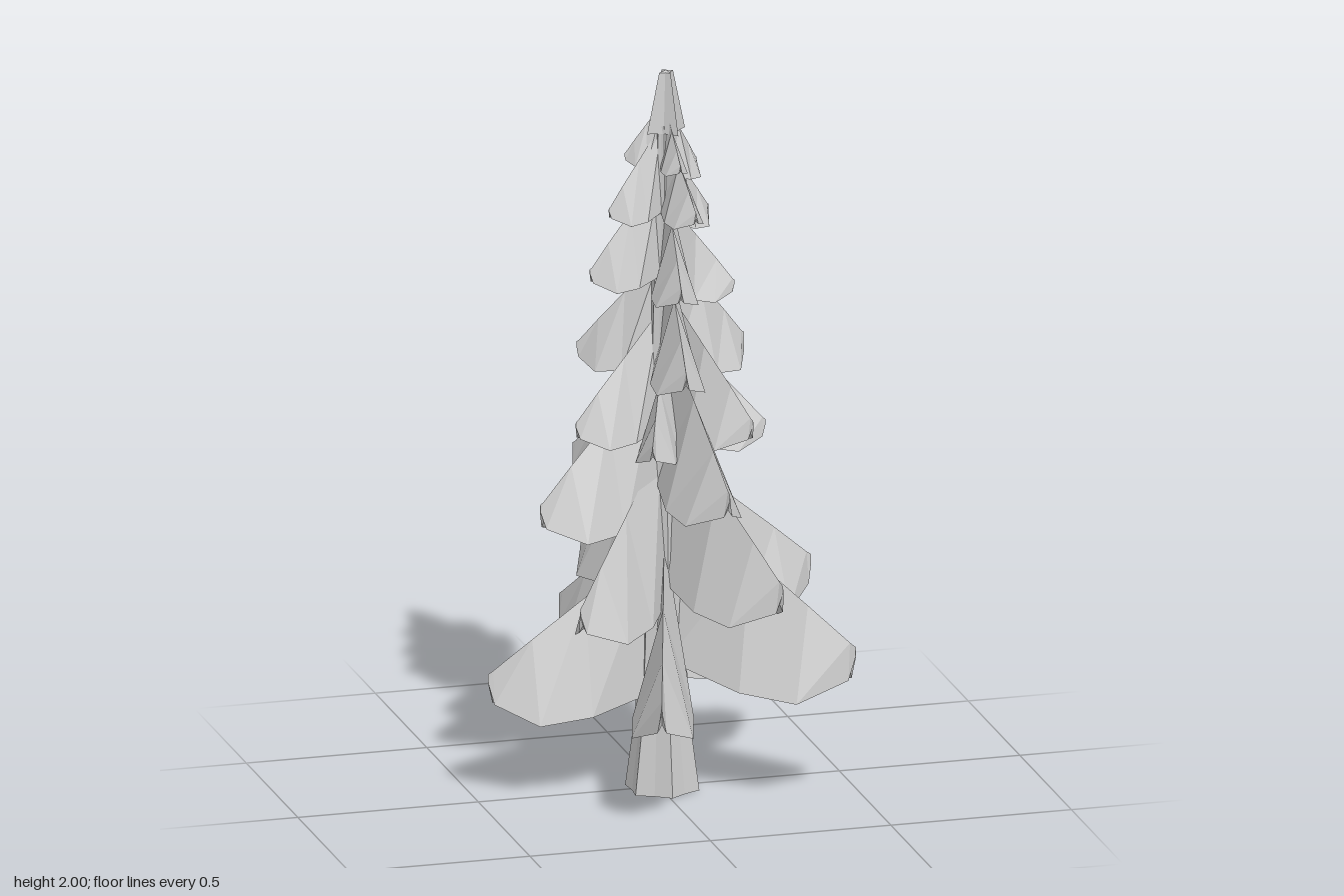
import * as THREE from 'three';

// Branch tips as [x, height, z], from the lowest tier to the top
const TIPS = [
  [-0.47, 0.35, -0.01], [0.46, 0.44, 0.30], [0.38, 0.37, -0.31], [-0.15, 0.42, -0.44], [-0.12, 0.37, 0.45],
  [0.45, 0.58, -0.10], [-0.30, 0.61, 0.29], [0.23, 0.66, 0.40], [-0.10, 0.63, -0.40],
  [-0.36, 0.85, 0.11], [0.09, 0.92, 0.375], [0.21, 0.88, -0.28], [-0.15, 0.88, -0.31],
  [0.27, 1.03, 0.09], [-0.25, 1.06, 0.07], [0.19, 1.08, 0.25], [0.10, 1.08, -0.26], [-0.08, 1.02, 0.22],
  [0.27, 1.21, -0.12], [-0.20, 1.23, -0.10], [0.0, 1.23, 0.27], [-0.08, 1.22, -0.23],
  [0.19, 1.42, 0.07], [-0.20, 1.47, 0.03], [0.0, 1.45, 0.22], [0.10, 1.46, -0.25],
  [0.16, 1.59, -0.08], [-0.15, 1.64, 0.04], [0.06, 1.64, 0.16], [0.05, 1.63, -0.19],
  [0.13, 1.72, -0.09], [-0.09, 1.77, -0.02], [0.03, 1.76, 0.11], [-0.02, 1.76, -0.10],
];
const CENTRE_X = 0.015;

// Drooping blade: a steep folded roof, lofted outwards along +z with its tip at height 0
function bladeGeometry(reach, slope, width) {
  // distance out, ridge, hem and keel heights, half width, all as parts of the reach
  const sections = [
    [0.04, slope, -0.14, 0.1, 0.1],
    [0.45, slope * 0.57, -0.24, 0.0, 0.24],
    [0.75, slope * 0.26, -0.27, -0.1, 0.24],
    [0.97, 0.02, -0.17, -0.12, 0.035],
    [1, 0, -0.05, -0.04, 0.004],
  ];
  const positions = [];
  for (const [out, ridge, hem, keel, half] of sections) {
    const w = half * width;
    positions.push(0, ridge, out, -w, hem, out, 0, keel, out, w, hem, out);
  }
  const index = [];
  for (let s = 0; s < sections.length - 1; s++) {
    for (let i = 0; i < 4; i++) {
      const a = s * 4 + i, b = s * 4 + (i + 1) % 4;
      index.push(a, b, a + 4, b, b + 4, a + 4);
    }
  }
  const end = (sections.length - 1) * 4;
  index.push(0, 2, 1, 0, 3, 2, end, end + 1, end + 2, end, end + 2, end + 3);
  const geometry = new THREE.BufferGeometry();
  geometry.setAttribute('position', new THREE.Float32BufferAttribute(positions, 3));
  geometry.setIndex(index);
  geometry.scale(reach, reach, reach);
  const flat = geometry.toNonIndexed();
  flat.computeVertexNormals();
  return flat;
}

// Tapered pole whose alternate corners are pushed in to form grooves
function flutedPole(profile, sides, groove) {
  const geometry = new THREE.LatheGeometry(profile.map(([r, y]) => new THREE.Vector2(r, y)), sides);
  const p = geometry.attributes.position;
  for (let i = 0; i < p.count; i++) {
    const column = Math.floor(i / profile.length) % sides;
    if (column % 2) p.setXYZ(i, p.getX(i) * groove, p.getY(i), p.getZ(i) * groove);
  }
  geometry.computeVertexNormals();
  return geometry;
}

export function createModel() {
  const tree = new THREE.Group();
  tree.name = 'coniferTree';
  const material = new THREE.MeshStandardMaterial({ color: 0xcccccc, flatShading: true, side: THREE.DoubleSide });
  const add = (name, geometry, parent = tree) => {
    const mesh = new THREE.Mesh(geometry, material);
    mesh.name = name;
    parent.add(mesh);
    return mesh;
  };

  // Trunk, flared at the foot
  const trunk = add('trunk', flutedPole(
    [[0, 0], [0.102, 0], [0.075, 0.2], [0.065, 0.4], [0.045, 1], [0.015, 1.85], [0, 1.85]], 12, 0.82));
  trunk.position.set(0.006, 0, 0.012);

  // Tiers of branches: narrow and gently sloped below, fuller and steeper above
  const branches = new THREE.Group();
  branches.name = 'branches';
  tree.add(branches);
  TIPS.forEach(([x, y, z], i) => {
    const dx = x - CENTRE_X;
    const reach = Math.hypot(dx, z);
    const slope = THREE.MathUtils.mapLinear(y, 0.35, 1.75, 0.7, 1.3);
    const width = THREE.MathUtils.mapLinear(y, 0.35, 1.75, 0.72, 1.2);
    const blade = add('branch' + (i + 1), bladeGeometry(reach, slope, width), branches);
    blade.position.set(CENTRE_X, y, 0);
    blade.rotation.y = Math.atan2(dx, z);
  });

  // Pointed crown
  const crown = add('crown', flutedPole(
    [[0, 1.87], [0.06, 1.83], [0.022, 1.995], [0, 2]], 8, 0.5));
  crown.position.x = 0.02;
  crown.rotation.y = 0.3;
  return tree;
}
